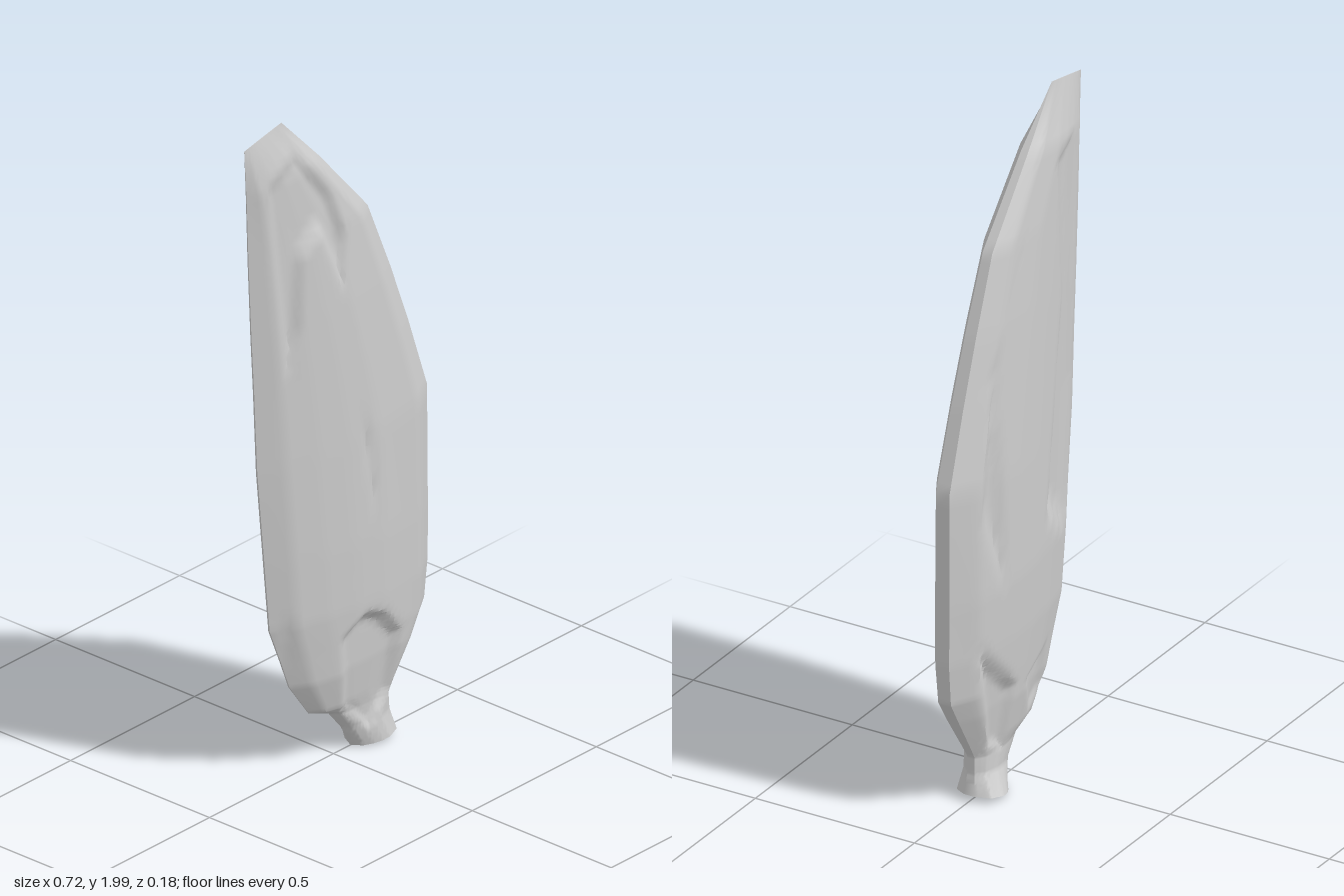
import * as THREE from 'three';
import { toCreasedNormals } from 'three/addons/utils/BufferGeometryUtils.js';

// Stations up the blade: x left, y left, x right, y right, front depth, back depth
const stations = [
  [0.07, 0.01, 0.22, 0.03, 0.062, 0.075],
  [0.03, 0.08, 0.205, 0.09, 0.05, 0.04],
  [-0.02, 0.14, 0.205, 0.14, 0.052, 0.038],
  [-0.1, 0.17, 0.23, 0.18, 0.06, 0.048],
  [-0.18, 0.28, 0.3, 0.29, 0.08, 0.068],
  [-0.215, 0.37, 0.342, 0.36, 0.085, 0.075],
  [-0.26, 0.48, 0.355, 0.48, 0.09, 0.083],
  [-0.28, 0.68, 0.355, 0.65, 0.092, 0.09],
  [-0.31, 0.98, 0.353, 1.0, 0.088, 0.082],
  [-0.322, 1.22, 0.28, 1.22, 0.08, 0.073],
  [-0.333, 1.4, 0.21, 1.41, 0.073, 0.066],
  [-0.345, 1.64, 0.12, 1.63, 0.062, 0.055],
  [-0.352, 1.83, -0.07, 1.85, 0.047, 0.042],
  [-0.36, 1.97, -0.21, 2.0, 0.001, 0.001],
];
// Depth across the blade: thin left edge, full middle, blunt right edge
const profile = [[0, 0.03], [0.11, 0.5], [0.27, 0.78], [0.43, 0.94], [0.6, 1], [0.87, 0.8], [1, 0.25]];

// Sunken areas as outlines in x, y, with the share of depth removed
const frontHollows = [
  { depth: 0.36, outline: [[-0.31, 1.85], [-0.18, 1.92], [-0.05, 1.75], [0, 1.6], [-0.03, 1.42], [-0.12, 1.64], [-0.17, 1.6], [-0.18, 1.37], [-0.24, 1.2]] },
  { depth: 0.25, outline: [[-0.02, 1.2], [0.07, 0.95], [0.1, 0.63], [0.05, 0.8]] },
  { depth: 0.35, outline: [[-0.05, 0.4], [0.04, 0.46], [0.12, 0.43], [0.2, 0.34], [0.19, 0.15], [0.1, 0.05], [-0.02, 0.15]] },
  { depth: 0.3, outline: [[-0.26, 0.56], [-0.19, 0.49], [-0.18, 0.3], [-0.24, 0.4]] },
];
const backHollows = [
  { depth: 0.36, outline: [[-0.28, 1.84], [-0.16, 1.8], [-0.17, 1.38], [-0.06, 0.78], [-0.21, 0.65], [-0.26, 1.1]] },
  { depth: 0.25, outline: [[-0.1, 1.78], [0.02, 1.62], [0.2, 1.3], [0.27, 0.9], [0.15, 0.6], [0.16, 1.14], [0.12, 1.42]] },
  { depth: 0.35, outline: [[0.3, 0.55], [0.08, 0.33], [0.1, 0.12], [0.19, 0.16]] },
  { depth: 0.3, outline: [[-0.1, 0.38], [0.04, 0.32], [-0.02, 0.17], [-0.12, 0.22]] },
];

function sample(table, u) {
  let i = 0;
  while (i < table.length - 2 && u > table[i + 1][0]) i++;
  const [a, b] = [table[i], table[i + 1]];
  return THREE.MathUtils.lerp(a[1], b[1], (u - a[0]) / (b[0] - a[0]));
}

// Distance inside an outline, zero outside it
function insideDistance(outline, x, y) {
  let inside = false, best = Infinity;
  outline.forEach(([ax, ay], i) => {
    const [bx, by] = outline[(i + 1) % outline.length];
    if ((ay > y) !== (by > y) && x < ax + (bx - ax) * (y - ay) / (by - ay)) inside = !inside;
    const dx = bx - ax, dy = by - ay;
    const t = THREE.MathUtils.clamp(((x - ax) * dx + (y - ay) * dy) / (dx * dx + dy * dy), 0, 1);
    best = Math.min(best, Math.hypot(x - ax - t * dx, y - ay - t * dy));
  });
  return inside ? best : 0;
}

function relief(hollows, x, y) {
  return hollows.reduce((k, h) =>
    k * (1 - h.depth * THREE.MathUtils.smoothstep(insideDistance(h.outline, x, y), 0, 0.04)), 1);
}

function bladeGeometry() {
  const columns = 36, steps = 8;
  const ring = (columns + 1) * 2, positions = [], indices = [];
  const rows = (stations.length - 1) * steps;

  // Each ring runs left to right over the front, then back over the rear
  for (let r = 0; r <= rows; r++) {
    const s = Math.min(Math.floor(r / steps), stations.length - 2);
    const f = r / steps - s;
    const [xl, yl, xr, yr, front, back] = stations[s].map((v, k) => THREE.MathUtils.lerp(v, stations[s + 1][k], f));
    for (let k = 0; k < ring; k++) {
      const isFront = k <= columns;
      const u = (isFront ? k : ring - 1 - k) / columns;
      const x = THREE.MathUtils.lerp(xl, xr, u);
      const y = THREE.MathUtils.lerp(yl, yr, u);
      const depth = sample(profile, u) * relief(isFront ? frontHollows : backHollows, x, y);
      positions.push(x, y, isFront ? depth * front : -depth * back);
    }
  }
  for (let r = 0; r < rows; r++) {
    for (let k = 0; k < ring; k++) {
      const n = (k + 1) % ring;
      const a = r * ring + k, b = r * ring + n;
      indices.push(a, b, b + ring, a, b + ring, a + ring);
    }
  }
  // Close the stem foot and the tip
  const top = rows * ring;
  for (let k = 0; k < columns; k++) {
    const o = ring - 1 - k;
    indices.push(k, o, k + 1, k + 1, o, o - 1);
    indices.push(top + k, top + k + 1, top + o, top + k + 1, top + o - 1, top + o);
  }
  const geometry = new THREE.BufferGeometry();
  geometry.setAttribute('position', new THREE.Float32BufferAttribute(positions, 3));
  geometry.setIndex(indices);
  return toCreasedNormals(geometry, 0.6);
}

export function createModel() {
  const group = new THREE.Group();
  group.name = 'carvedBlade';
  const blade = new THREE.Mesh(bladeGeometry(), new THREE.MeshStandardMaterial({ color: 0xcccccc }));
  blade.name = 'blade';
  group.add(blade);
  return group;
}
